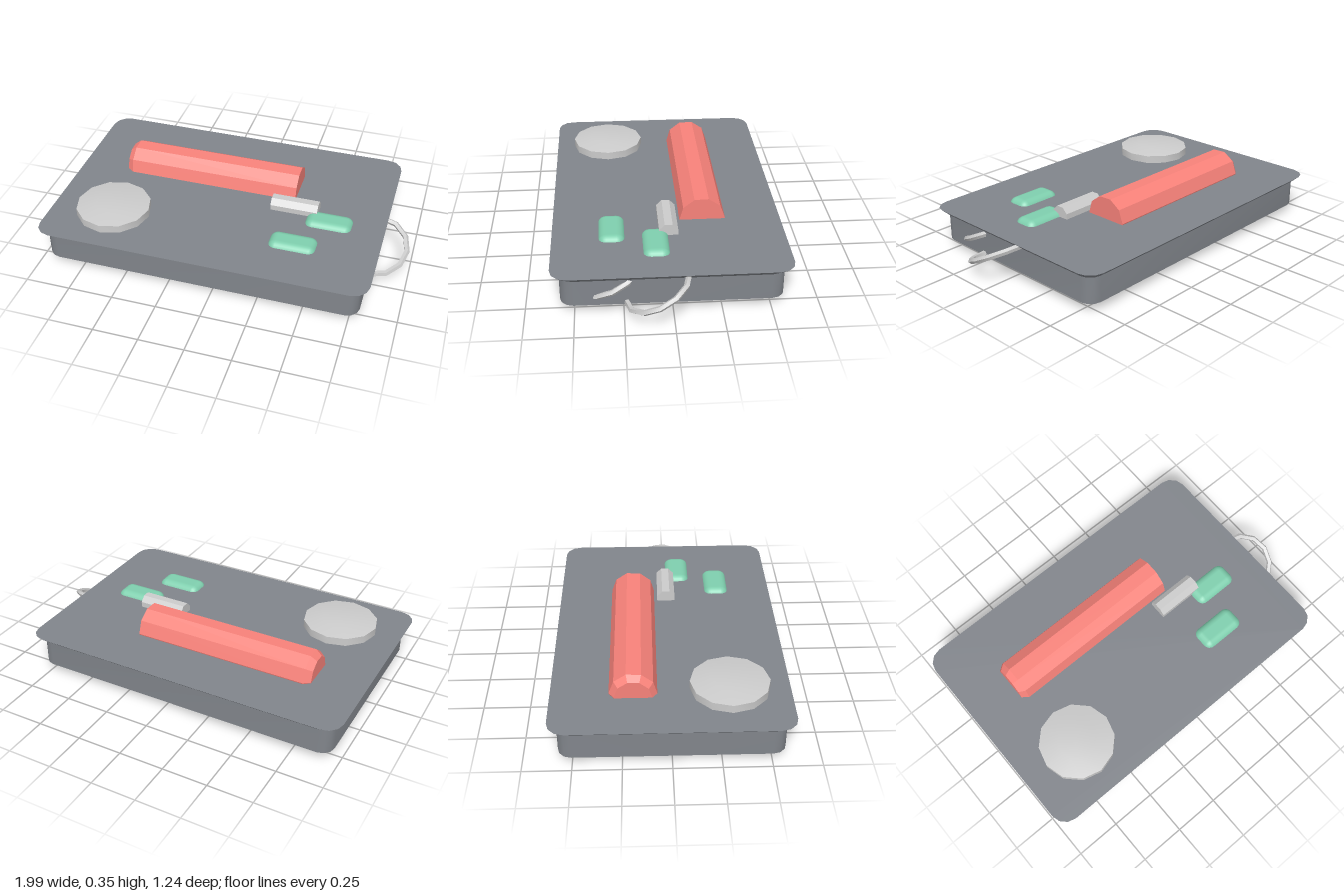
import * as THREE from 'three';
import { toCreasedNormals } from 'three/addons/utils/BufferGeometryUtils.js';
import { RoundedBoxGeometry } from 'three/addons/geometries/RoundedBoxGeometry.js';

const material = (color, flatShading = false) => new THREE.MeshStandardMaterial({ color, flatShading });

// Closed solid through equal-sized loops, each counterclockwise seen from the far end
function loft(loops) {
  const n = loops[0].length, index = [];
  for (let i = 0; i < loops.length - 1; i++) {
    for (let j = 0; j < n; j++) {
      const a = i * n + j, b = i * n + (j + 1) % n;
      index.push(a, b, b + n, a, b + n, a + n);
    }
  }
  const end = (loops.length - 1) * n;
  for (let j = 1; j < n - 1; j++) {
    index.push(0, j + 1, j, end, end + j, end + j + 1);
  }
  const geometry = new THREE.BufferGeometry();
  geometry.setAttribute('position', new THREE.Float32BufferAttribute(loops.flat(2), 3));
  geometry.setIndex(index);
  return toCreasedNormals(geometry, 0.6);
}

// Horizontal rounded rectangle at height y
function roundedLoop(y, halfX, halfZ, radius) {
  const points = [];
  [[1, 1], [1, -1], [-1, -1], [-1, 1]].forEach(([sx, sz], corner) => {
    for (let k = 0; k <= 3; k++) {
      const a = corner * Math.PI / 2 + k * Math.PI / 6;
      points.push([
        sx * (halfX - radius) + radius * Math.sin(a), y,
        sz * (halfZ - radius) + radius * Math.cos(a),
      ]);
    }
  });
  return points;
}

// Regular polygon facing +x
function polygonLoop(x, radius, sides, turn) {
  return Array.from({ length: sides }, (_, k) => {
    const a = turn + k * 2 * Math.PI / sides;
    return [x, radius * Math.cos(a), radius * Math.sin(a)];
  });
}

export function createModel() {
  const group = new THREE.Group();
  const add = (name, geometry, mat, x, y, z) => {
    const mesh = new THREE.Mesh(geometry, mat);
    mesh.name = name;
    mesh.position.set(x, y, z);
    group.add(mesh);
    return mesh;
  };
  const grey = material(0xcccccc);
  const green = material(0x7fcfae);

  // Tray: bevelled foot, straight wall, flared rim and flat top
  const tray = loft([
    roundedLoop(0, 0.805, 0.5, 0.05),
    roundedLoop(0.045, 0.878, 0.573, 0.07),
    roundedLoop(0.19, 0.878, 0.573, 0.07),
    roundedLoop(0.23, 0.922, 0.618, 0.09),
  ]);
  add('tray', tray, material(0x81858b), -0.078, 0, 0);

  // Long red roll, bevelled at one end, half sunk in the top
  const rollTurn = THREE.MathUtils.degToRad(20);
  const roll = loft([
    polygonLoop(-0.725, 0.098, 10, rollTurn),
    polygonLoop(-0.69, 0.125, 10, rollTurn),
    polygonLoop(0.305, 0.125, 10, rollTurn),
  ]);
  add('redRoll', roll, material(0xf8827a, true), 0, 0.232, -0.193);

  // Short white stick
  const stick = loft([0.19, 0.457].map((x) => polygonLoop(x, 0.055, 8, Math.PI / 8)));
  add('whiteStick', stick, material(0xf2f3f5, true), 0, 0.24, 0);

  // Round disc with a shallow domed top
  const discProfile = [[0, -0.03], [0.208, -0.03], [0.208, 0.044], [0.1, 0.062], [0, 0.062]]
    .map(([r, y]) => new THREE.Vector2(r, y));
  add('disc', toCreasedNormals(new THREE.LatheGeometry(discProfile, 12), 0.6), grey, -0.65, 0.23, 0.305);

  // Two rounded green pads
  for (const [x, z] of [[0.533, 0.073], [0.383, 0.302]]) {
    add('greenPad', new RoundedBoxGeometry(0.265, 0.1, 0.145, 3, 0.045), green, x, 0.206, z);
  }

  // Tilted rings emerging from the side wall
  const ring = toCreasedNormals(new THREE.TorusGeometry(0.174, 0.016, 5, 12), 0.6);
  for (const [name, x, z] of [['largeRing', 0.8, 0.077], ['smallRing', 0.65, 0.307]]) {
    add(name, ring, grey, x, 0.133, z).rotation.x = THREE.MathUtils.degToRad(116);
  }

  return group;
}
